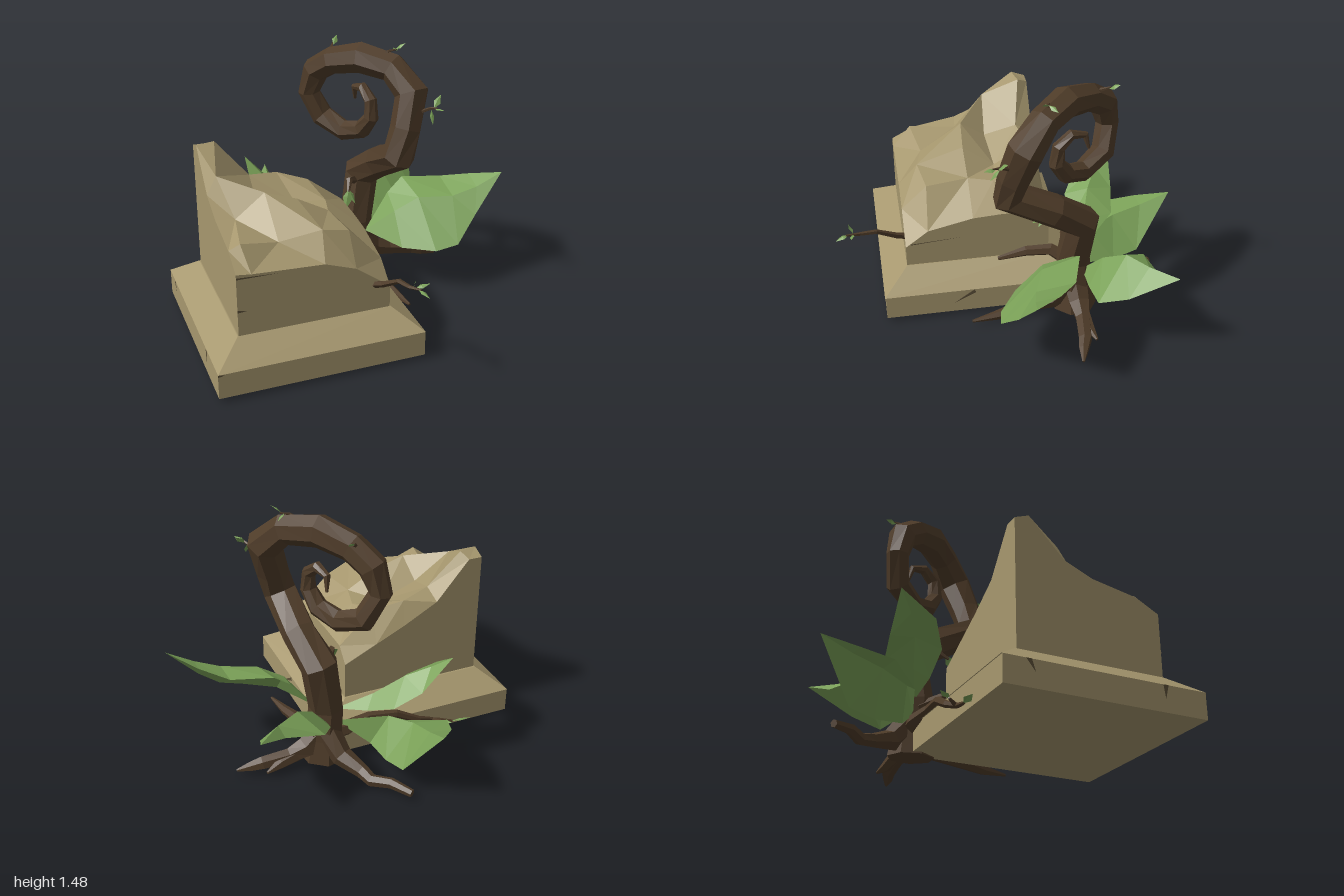
import * as THREE from 'three';

const paint = (name, color, opts = {}) => {
  const m = new THREE.MeshStandardMaterial({ color, flatShading: true, ...opts });
  m.name = name;
  return m;
};
const V = (p) => new THREE.Vector3(...p);

// Faceted mesh from a list of corner points, three per face
function facets(name, points, material) {
  const g = new THREE.BufferGeometry().setFromPoints(points);
  g.computeVertexNormals();
  const m = new THREE.Mesh(g, material);
  m.name = name;
  return m;
}
const quad = (out, a, b, c, d) => out.push(a, b, c, a, c, d);

// Tapering limb through points [x, y, z, radius]
function limb(name, path, material, sides = 7) {
  const pts = path.map(([x, y, z]) => new THREE.Vector3(x, y, z));
  let u = new THREE.Vector3(0.31, 0.2, 0.93);
  const rings = pts.map((p, i) => {
    const before = pts[Math.max(i - 1, 0)], after = pts[Math.min(i + 1, pts.length - 1)];
    const inDir = p.clone().sub(before).normalize(), outDir = after.clone().sub(p).normalize();
    const t = inDir.add(outDir).normalize();
    u = u.clone().addScaledVector(t, -u.dot(t)).normalize();
    const v = t.clone().cross(u);
    return Array.from({ length: sides }, (_, k) => {
      const a = (k / sides) * Math.PI * 2;
      return p.clone().addScaledVector(u, Math.cos(a) * path[i][3]).addScaledVector(v, Math.sin(a) * path[i][3]);
    });
  });
  const out = [], last = rings.length - 1;
  for (let k = 0; k < sides; k++) {
    const n = (k + 1) % sides;
    for (let i = 0; i < last; i++) quad(out, rings[i][k], rings[i][n], rings[i + 1][n], rings[i + 1][k]);
    out.push(pts[0], rings[0][n], rings[0][k], pts[last], rings[last][k], rings[last][n]);
  }
  return facets(name, out, material);
}

// Arched leaf: rows of [edge, midrib, edge] between a base and a tip
function leaf(name, base, rows, tip, material) {
  const all = [[base, base, base], ...rows, [tip, tip, tip]].map((r) => r.map(V));
  const out = [];
  for (let i = 0; i < all.length - 1; i++)
    for (let k = 0; k < 2; k++) {
      const [a, b, c, d] = [all[i][k], all[i][k + 1], all[i + 1][k + 1], all[i + 1][k]];
      if (i > 0) out.push(a, b, c);
      if (i < all.length - 2) out.push(a, c, d);
    }
  return facets(name, out, material);
}

// Small pointed leaf on a twig
function sprig(from, to, width, material) {
  const a = V(from), b = V(to), d = b.clone().sub(a);
  const side = new THREE.Vector3(0.3, 1, 0.4).cross(d).normalize().multiplyScalar(width);
  const mid = a.clone().addScaledVector(d, 0.45);
  const l = mid.clone().add(side), r = mid.clone().sub(side);
  mid.y += width * 0.4;
  return facets('smallLeaf', [a, mid, l, l, mid, b, a, r, mid, mid, r, b], material);
}

export function createModel() {
  const stone = paint('stone', 0xa6976e);
  const crack = paint('crack shade', 0x5c5039, { side: THREE.DoubleSide });
  const bark = paint('bark', 0x4f3c29);
  const green = paint('leaf green', 0x7ba258, { side: THREE.DoubleSide });

  const model = new THREE.Group();
  model.name = 'brokenPedestalWithVine';
  const pedestal = new THREE.Group(), vine = new THREE.Group(), foliage = new THREE.Group();
  pedestal.name = 'pedestal';
  vine.name = 'vine';
  foliage.name = 'foliage';
  model.add(pedestal, vine, foliage);

  // Plinth and its sloping shoulder
  const plinth = new THREE.Mesh(new THREE.BoxGeometry(1.13, 0.145, 1.12), stone);
  plinth.name = 'plinth';
  plinth.position.set(-0.405, 0.0925, 0.19);
  const slope = new THREE.CylinderGeometry(0.84 / Math.SQRT2, 1.13 / Math.SQRT2, 0.11, 4, 1);
  const shoulder = new THREE.Mesh(slope.rotateY(Math.PI / 4), stone);
  shoulder.name = 'shoulder';
  shoulder.position.set(-0.405, 0.22, 0.19);
  pedestal.add(plinth, shoulder);

  // Broken block: straight walls under a jagged top
  const xs = [-0.82, -0.74, -0.55, -0.35, -0.18, 0.01];
  const zs = [-0.22, -0.14, 0.06, 0.22, 0.48, 0.61];
  const heights = [
    [1.0, 1.0, 0.77, 0.66, 0.58, 0.49],
    [1.03, 1.03, 0.82, 0.79, 0.74, 0.57],
    [0.82, 0.92, 0.76, 0.69, 0.69, 0.57],
    [0.75, 0.74, 0.86, 0.8, 0.7, 0.56],
    [0.7, 0.74, 0.69, 0.74, 0.69, 0.5],
    [0.63, 0.62, 0.61, 0.6, 0.54, 0.4],
  ];
  const top = heights.map((row, j) => row.map((h, i) => {
    const inner = i > 0 && i < 5 && j > 0 && j < 5 ? 0.025 : 0;
    return new THREE.Vector3(xs[i] + inner * Math.sin(i * 5 + j * 3), h, zs[j] + inner * Math.cos(i * 3 + j * 7));
  }));
  const faces = [];
  for (let j = 0; j < 5; j++)
    for (let i = 0; i < 5; i++) {
      const [a, b, c, d] = [top[j][i], top[j + 1][i], top[j + 1][i + 1], top[j][i + 1]];
      if ((i * 2 + j) % 3) quad(faces, a, b, c, d);
      else quad(faces, b, c, d, a);
    }
  const rim = [];
  for (let k = 0; k < 5; k++) rim.push([top[5][k], top[5][k + 1]], [top[5 - k][5], top[4 - k][5]],
    [top[0][5 - k], top[0][4 - k]], [top[k][0], top[k + 1][0]]);
  const foot = (p) => new THREE.Vector3(p.x, 0.27, p.z);
  for (const [p, q] of rim) quad(faces, foot(p), foot(q), q, p);
  pedestal.add(facets('brokenBlock', faces, stone));

  // Thin cracks on the walls
  const cracks = [
    [[-0.82, 0.425, 0.612], [-0.82, 0.41, 0.612], [-0.77, 0.415, 0.612]],
    [[-0.82, 0.612, 0.612], [-0.82, 0.602, 0.612], [-0.6, 0.6, 0.612]],
    [[-0.97, 0.165, 0.752], [-0.97, 0.15, 0.752], [-0.93, 0.157, 0.752]],
    [[0.162, 0.08, 0.36], [0.162, 0.165, 0.24], [0.162, 0.145, 0.23]],
    [[0.012, 0.42, 0.58], [0.012, 0.414, 0.58], [0.012, 0.44, 0.27]],
    [[-0.972, 0.165, -0.25], [-0.972, 0.165, -0.22], [-0.972, 0.1, -0.2]],
    [[-0.972, 0.165, 0.5], [-0.972, 0.165, 0.53], [-0.972, 0.09, 0.51]],
  ];
  pedestal.add(facets('cracks', cracks.flat().map(V), crack));

  // Main stem curling into a spiral
  vine.add(limb('stem', [
    [0.2, 0.02, -0.34, 0.13], [0.19, 0.15, -0.34, 0.105], [0.17, 0.33, -0.33, 0.1], [0.22, 0.62, -0.36, 0.105],
    [0.27, 0.75, -0.19, 0.095], [0.28, 0.88, 0.06, 0.095], [0.33, 1.03, 0.04, 0.09], [0.385, 1.22, -0.01, 0.1],
    [0.31, 1.34, -0.12, 0.085], [0.18, 1.37, -0.26, 0.09], [0.06, 1.32, -0.41, 0.08], [-0.01, 1.24, -0.51, 0.08],
    [-0.04, 1.1, -0.545, 0.065], [0.03, 0.95, -0.51, 0.068], [0.12, 0.89, -0.38, 0.06], [0.19, 0.93, -0.27, 0.055],
    [0.22, 1.02, -0.21, 0.045], [0.22, 1.12, -0.22, 0.038], [0.2, 1.18, -0.29, 0.03], [0.18, 1.16, -0.37, 0.02],
    [0.19, 1.08, -0.39, 0.008],
  ], bark));

  // Roots gripping the ground and the plinth
  const roots = [
    [[0.19, 0.2, -0.34, 0.08], [0.3, 0.1, -0.35, 0.065], [0.4, 0.07, -0.35, 0.045], [0.55, 0.05, -0.33, 0.04], [0.61, 0.03, -0.31, 0.03], [0.69, 0.01, -0.29, 0.008]],
    [[0.3, 0.09, -0.35, 0.05], [0.46, 0.05, -0.37, 0.035], [0.55, 0.03, -0.4, 0.008]],
    [[0.19, 0.2, -0.36, 0.08], [0.14, 0.08, -0.48, 0.06], [0.07, 0.04, -0.6, 0.04], [0.05, 0.03, -0.68, 0.035], [-0.03, 0.045, -0.76, 0.03], [-0.1, 0.035, -0.87, 0.022]],
    [[0.2, 0.2, -0.33, 0.08], [0.22, 0.09, -0.2, 0.06], [0.21, 0.05, -0.06, 0.04], [0.25, 0.03, 0.12, 0.028], [0.28, 0.03, 0.27, 0.008]],
    [[0.12, 0.27, -0.33, 0.045], [0.07, 0.33, -0.22, 0.036], [0.05, 0.32, -0.08, 0.03], [0.03, 0.27, 0.08, 0.012]],
    [[0.19, 0.17, -0.34, 0.07], [0.06, 0.18, -0.37, 0.045], [-0.08, 0.2, -0.35, 0.03], [-0.24, 0.19, -0.37, 0.024], [-0.38, 0.12, -0.385, 0.02], [-0.48, 0.08, -0.37, 0.016], [-0.6, 0.05, -0.39, 0.008]],
  ];
  roots.forEach((r) => vine.add(limb('root', r, bark, 6)));

  // Twigs
  const twigs = [
    [[-0.09, 0.4, 0.56, 0.02], [-0.05, 0.45, 0.66, 0.018], [-0.01, 0.52, 0.77, 0.014], [0.01, 0.53, 0.86, 0.011], [0.04, 0.55, 0.94, 0.005]],
    [[0.18, 0.58, -0.33, 0.03], [0.1, 0.63, -0.24, 0.02], [0.07, 0.58, -0.18, 0.008]],
    [[0.4, 1.13, 0.07, 0.012], [0.44, 1.17, 0.13, 0.008], [0.46, 1.18, 0.17, 0.004]],
    [[0.25, 1.4, -0.17, 0.012], [0.29, 1.43, -0.14, 0.008], [0.34, 1.44, -0.13, 0.004]],
    [[0.07, 1.36, -0.47, 0.012], [0.1, 1.39, -0.52, 0.004]],
    [[-0.47, 0.08, -0.37, 0.014], [-0.51, 0.1, -0.43, 0.006]],
  ];
  twigs.forEach((t) => vine.add(limb('twig', t, bark, 5)));

  // Small leaves on the twigs
  const sprigs = [
    [[0.03, 0.55, 0.92], [0.06, 0.53, 1], 0.016], [[0.02, 0.54, 0.9], [0.1, 0.56, 0.91], 0.014],
    [[0.01, 0.54, 0.9], [0.02, 0.61, 0.92], 0.014], [[0.08, 0.6, -0.19], [0.03, 0.5, -0.12], 0.03],
    [[0.07, 0.6, -0.2], [0.1, 0.52, -0.14], 0.025],
    [[0.45, 1.17, 0.15], [0.48, 1.18, 0.22], 0.018], [[0.45, 1.17, 0.14], [0.51, 1.23, 0.1], 0.02],
    [[0.44, 1.16, 0.13], [0.43, 1.09, 0.18], 0.015], [[0.33, 1.44, -0.13], [0.38, 1.48, -0.1], 0.018],
    [[0.32, 1.44, -0.14], [0.37, 1.42, -0.18], 0.014], [[0.1, 1.38, -0.51], [0.14, 1.42, -0.56], 0.018],
    [[-0.59, 0.05, -0.39], [-0.72, 0.05, -0.4], 0.022], [[-0.5, 0.1, -0.42], [-0.54, 0.12, -0.49], 0.02],
  ];
  sprigs.forEach(([a, b, w]) => foliage.add(sprig(a, b, w, green)));

  // Four broad leaves around the foot of the stem
  foliage.add(leaf('leftLeaf', [0.2, 0.28, -0.24], [
    [[0.36, 0.49, -0.28], [0.34, 0.44, -0.12], [0.33, 0.27, 0.03]],
    [[0.46, 0.57, -0.3], [0.48, 0.52, -0.09], [0.5, 0.27, 0.14]],
    [[0.68, 0.57, -0.23], [0.67, 0.53, -0.02], [0.63, 0.3, 0.16]],
    [[0.82, 0.61, -0.12], [0.81, 0.58, 0.01], [0.77, 0.44, 0.09]],
  ], [0.96, 0.66, 0.03], green));
  foliage.add(leaf('backLeftLeaf', [0.2, 0.27, -0.38], [
    [[0.24, 0.36, -0.56], [0.31, 0.42, -0.47], [0.38, 0.28, -0.38]],
    [[0.33, 0.43, -0.7], [0.43, 0.52, -0.57], [0.53, 0.28, -0.4]],
    [[0.55, 0.48, -0.71], [0.57, 0.53, -0.66], [0.63, 0.37, -0.54]],
  ], [0.71, 0.54, -0.79], green));
  foliage.add(leaf('backLeaf', [0.13, 0.24, -0.36], [
    [[-0.24, 0.23, -0.5], [-0.13, 0.29, -0.5], [-0.03, 0.12, -0.48]],
    [[-0.4, 0.3, -0.67], [-0.2, 0.33, -0.66], [-0.05, 0.11, -0.64]],
    [[-0.34, 0.36, -0.83], [-0.21, 0.38, -0.83], [-0.08, 0.14, -0.79]],
  ], [-0.2, 0.46, -1], green));
  foliage.add(leaf('backRightLeaf', [0.13, 0.32, -0.36], [
    [[-0.12, 0.36, -0.37], [-0.06, 0.42, -0.44], [0, 0.36, -0.5]],
    [[-0.3, 0.45, -0.38], [-0.22, 0.53, -0.5], [-0.1, 0.42, -0.62]],
    [[-0.43, 0.55, -0.47], [-0.34, 0.6, -0.57], [-0.25, 0.5, -0.65]],
  ], [-0.42, 0.69, -0.66], green));

  return model;
}
